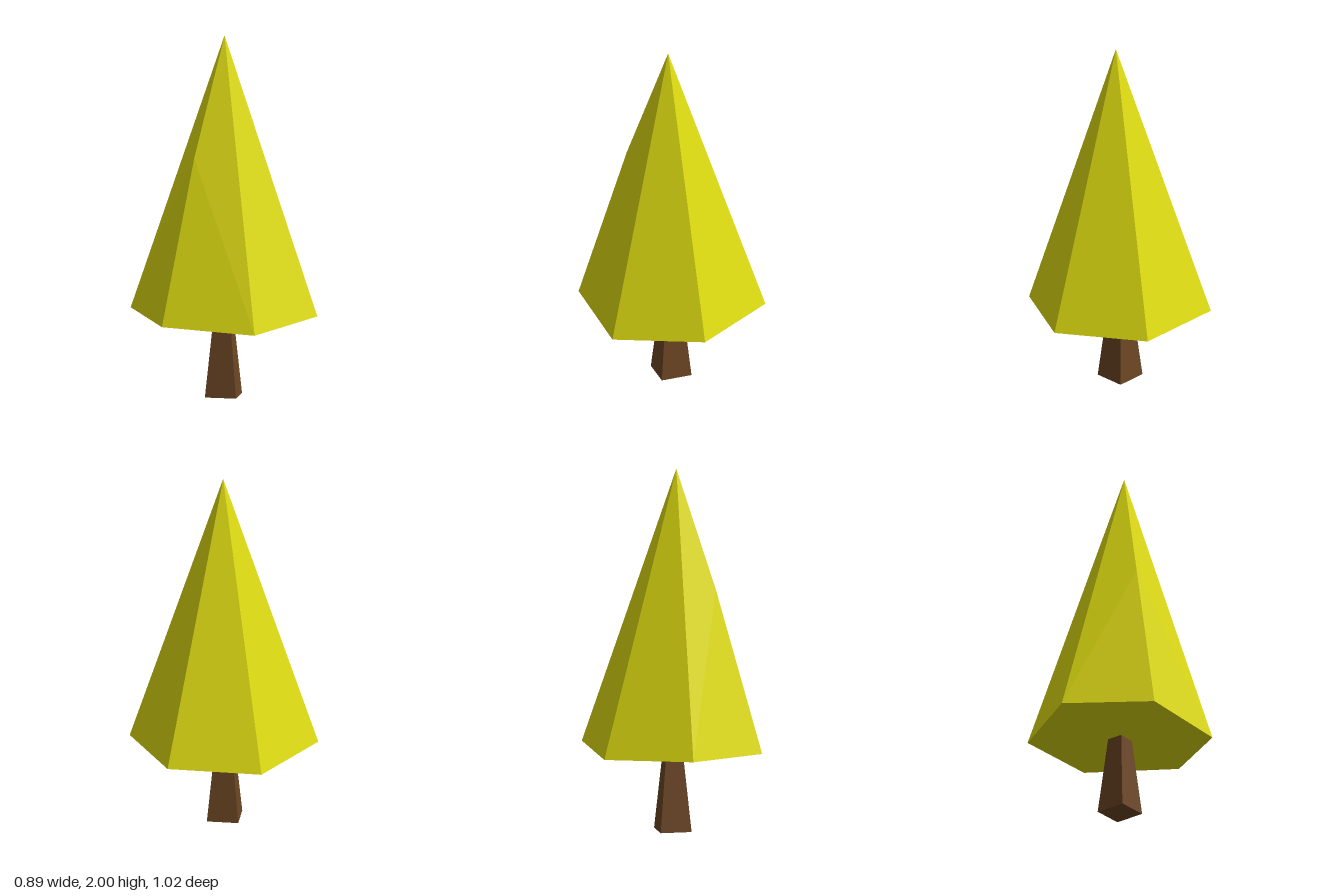
import * as THREE from 'three';

// Flat-shaded mesh from a list of triangles, each made of three [x, y, z] corners
function facetMesh(name, triangles, material) {
  const geometry = new THREE.BufferGeometry();
  geometry.setAttribute('position', new THREE.Float32BufferAttribute(triangles.flat(2), 3));
  geometry.computeVertexNormals();
  const mesh = new THREE.Mesh(geometry, material);
  mesh.name = name;
  return mesh;
}

export function createModel() {
  const foliageMaterial = new THREE.MeshStandardMaterial({ color: 0xdedb10 });
  foliageMaterial.name = 'yellow foliage';
  const barkMaterial = new THREE.MeshStandardMaterial({ color: 0x6c4624 });
  barkMaterial.name = 'brown bark';

  const tree = new THREE.Group();
  tree.name = 'tree';

  // Foliage: slightly uneven six-sided cone, rim counterclockwise from the front
  const apex = [-0.005, 2, 0.022];
  const rim = [
    [-0.003, 0.42, 0.507], [0.447, 0.455, 0.26], [0.447, 0.465, -0.262],
    [-0.003, 0.453, -0.51], [-0.448, 0.47, -0.26], [-0.448, 0.45, 0.25],
  ];
  const knuckle = [-0.215, 1.35, 0.12]; // bulge on the front-right ridge
  const faces = [];
  rim.forEach((a, i) => {
    const b = rim[(i + 1) % 6];
    if (i === 4) faces.push([a, b, knuckle], [a, knuckle, apex]);
    else if (i === 5) faces.push([a, b, knuckle], [knuckle, b, apex]);
    else faces.push([a, b, apex]);
  });
  // Underside
  for (let i = 1; i < 5; i++) faces.push([rim[0], rim[i + 1], rim[i]]);
  tree.add(facetMesh('foliage', faces, foliageMaterial));

  // Trunk: tapered, slightly turned square post reaching just into the foliage
  const trunkGeometry = new THREE.CylinderGeometry(0.062, 0.122, 0.46, 4).toNonIndexed();
  trunkGeometry.computeVertexNormals();
  const trunk = new THREE.Mesh(trunkGeometry, barkMaterial);
  trunk.name = 'trunk';
  trunk.position.set(-0.003, 0.23, -0.002);
  trunk.rotation.y = 0.25;
  tree.add(trunk);

  return tree;
}
